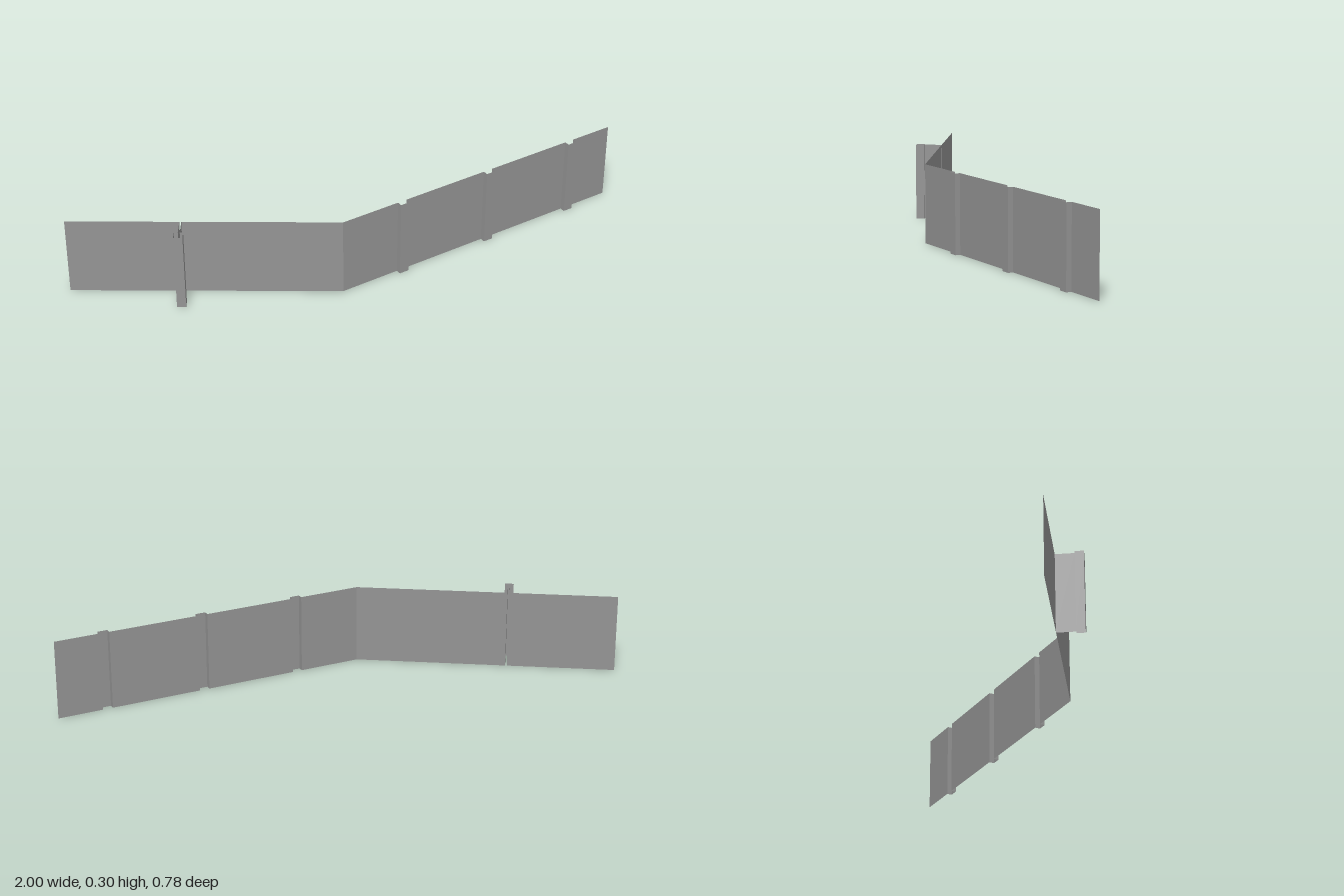
import * as THREE from 'three';

const HEIGHT = 0.298;

// Open vertical sheet following a plan path of [x, z] points, front side towards +z
function sheet(name, path, material) {
  const pos = [];
  for (let i = 0; i < path.length - 1; i++) {
    const [ax, az] = path[i], [bx, bz] = path[i + 1];
    pos.push(ax, 0, az, bx, 0, bz, bx, HEIGHT, bz);
    pos.push(ax, 0, az, bx, HEIGHT, bz, ax, HEIGHT, az);
  }
  const geo = new THREE.BufferGeometry();
  geo.setAttribute('position', new THREE.Float32BufferAttribute(pos, 3));
  geo.computeVertexNormals();
  const mesh = new THREE.Mesh(geo, material);
  mesh.name = name;
  return mesh;
}

export function createModel() {
  const group = new THREE.Group();
  group.name = 'foldedWall';
  const grey = new THREE.MeshStandardMaterial({ color: 0x949494, side: THREE.DoubleSide });
  grey.name = 'wallGrey';

  const bend = [-0.01, 0.286];
  const end = [1, -0.388];
  const z = bend[1];

  // Straight wing, broken by the slot of the T-shaped post
  const slot = [-0.591, -0.584];
  group.add(sheet('straightWingOuter', [[-1, z], [slot[0], z]], grey));
  group.add(sheet('straightWingInner', [[slot[1], z], bend], grey));

  // T-shaped post: narrow web and wider flange, hollow inside
  group.add(sheet('teePost', [
    [slot[0], z], [slot[0], 0.355], [-0.605, 0.355], [-0.605, 0.388],
    [-0.572, 0.388], [-0.572, 0.355], [slot[1], 0.355], [slot[1], z],
  ], grey));

  // Angled wing: panels between shallow ribs that step forward
  const dx = end[0] - bend[0], dz = end[1] - bend[1];
  const length = Math.hypot(dx, dz);
  const ux = dx / length, uz = dz / length;
  const at = (s, out = 0) => [bend[0] + ux * s - uz * out, bend[1] + uz * s + ux * out];
  const ribWidth = 0.038, ribDepth = 0.02;
  let start = 0;
  for (const s of [0.236, 0.621, 1.005]) {
    const e = s + ribWidth;
    group.add(sheet('angledPanel', [at(start), at(s)], grey));
    group.add(sheet('rib', [at(s), at(s, ribDepth), at(e, ribDepth), at(e)], grey));
    start = e;
  }
  group.add(sheet('angledPanel', [at(start), end], grey));
  return group;
}
